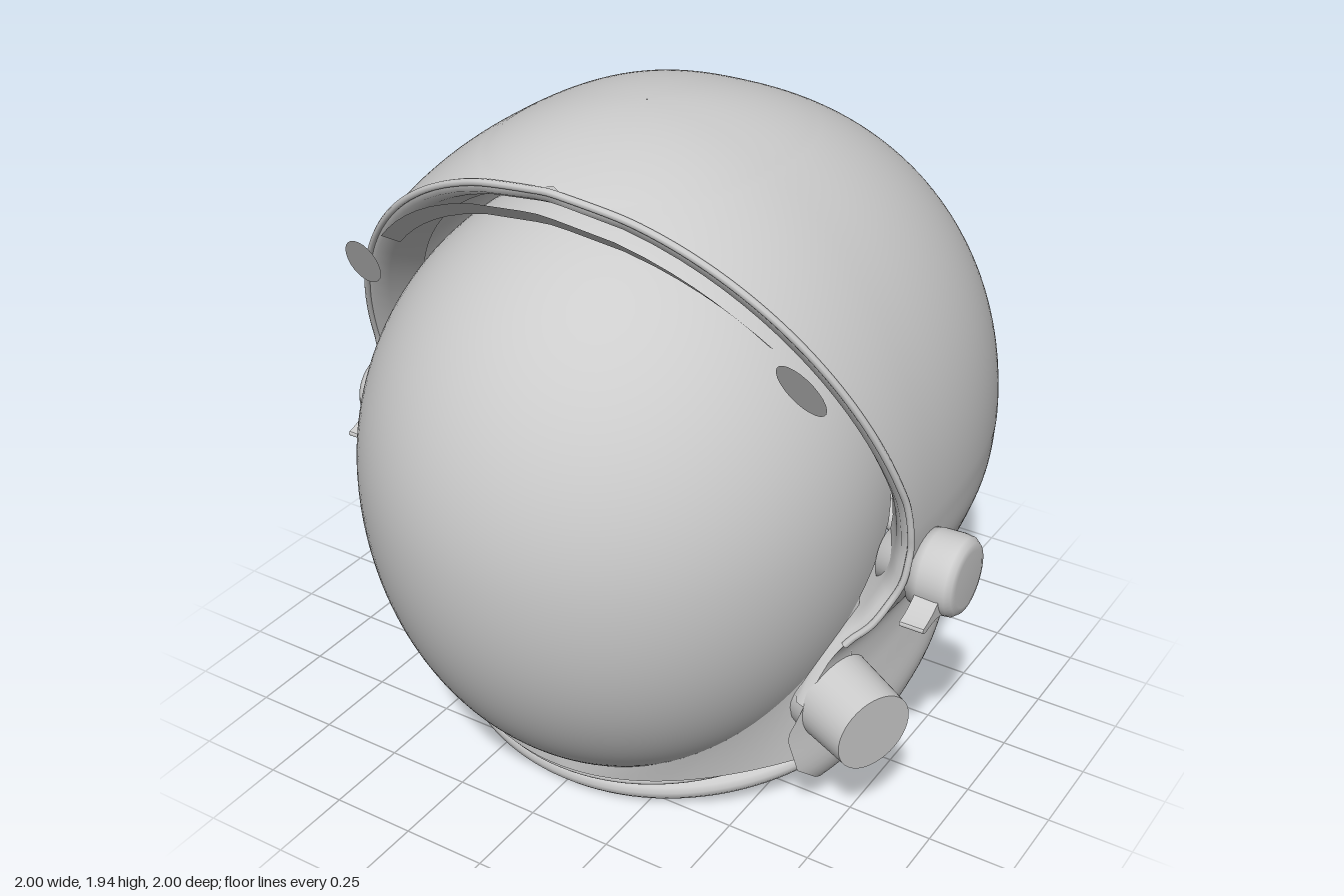
import * as THREE from 'three';

const V = (x, y, z) => new THREE.Vector3(x, y, z);

// Piecewise linear lookup in [[key, value], ...] with rising keys
function lookup(table, k) {
  if (k <= table[0][0]) return table[0][1];
  for (let i = 1; i < table.length; i++) {
    const [k0, v0] = table[i - 1], [k1, v1] = table[i];
    if (k <= k1) return v0 + (v1 - v0) * (k - k0) / (k1 - k0);
  }
  return table[table.length - 1][1];
}

// Smooth surface through equal-length rows of points
function skin(rows) {
  const n = rows[0].length, index = [];
  for (let i = 0; i < rows.length - 1; i++) {
    for (let j = 0; j < n - 1; j++) {
      const a = i * n + j, b = a + 1, c = a + n, d = c + 1;
      index.push(a, b, c, b, d, c);
    }
  }
  const geo = new THREE.BufferGeometry().setFromPoints(rows.flat());
  geo.setIndex(index);
  geo.computeVertexNormals();
  // keep the mirror plane free of a visible seam
  const p = geo.attributes.position, m = geo.attributes.normal;
  for (let i = 0; i < p.count; i++) {
    if (Math.abs(p.getX(i)) > 1e-5) continue;
    const l = Math.hypot(m.getY(i), m.getZ(i)) || 1;
    m.setXYZ(i, 0, m.getY(i) / l, m.getZ(i) / l);
  }
  return geo;
}

// Front limit of the shell and back limit of the visor, as z by height;
// the left cheek reaches further forward to carry the valve
const TOP = [0.583, 1.855];
const UPPER_EDGE = [[0.65, 0.3], [0.78, 0.245], [0.92, 0.23], [1.05, 0.25], [TOP[1], TOP[0]]];
const LEFT_EDGE = [[0.08, 0.22], [0.15, 0.34], [0.22, 0.42], [0.35, 0.455], [0.5, 0.38], ...UPPER_EDGE];
const RIGHT_EDGE = [[0.1, 0.15], [0.2, 0.27], [0.3, 0.34], [0.5, 0.35], ...UPPER_EDGE];
const VISOR_EDGE = [[0.14, 0.645], [0.3, 0.52], [0.5, 0.38], [0.7, 0.25], [0.9, 0.12], [1.2, 0.08]];

// Collar sections: [back z, back y, half width, tilt, centre z, front z]
const COLLAR = [
  [-1.0, 0.94, 0.88, 0, 0.13, 1.18], [-0.975, 0.83, 0.872, 0, 0.12, 1.13],
  [-0.9, 0.755, 0.85, 0, 0.08, 1.06], [-0.82, 0.7, 0.82, 0.02, 0.04, 1.0],
  [-0.755, 0.655, 0.78, 0.03, 0.01, 0.95], [-0.75, 0.625, 0.755, 0.06, 0, 0.9],
  [-0.78, 0.6, 0.752, 0.12, -0.02, 0.86], [-0.805, 0.565, 0.762, 0.18, -0.04, 0.82],
  [-0.805, 0.51, 0.775, 0.26, -0.06, 0.78], [-0.785, 0.47, 0.76, 0.31, -0.08, 0.7],
  [-0.755, 0.458, 0.735, 0.33, -0.08, 0.64], [-0.72, 0.47, 0.7, 0.33, -0.08, 0.6]];

function shellSections() {
  const out = [];
  for (let lat = 89.9; lat > 0.5; lat -= 1.5) {
    const r = lat * Math.PI / 180, k = Math.cos(r);
    out.push([0.13 - 1.13 * k, 0.94 + 1.01 * Math.sin(r), 0.88 * k, 0, 0.13, 0.13 + 1.05 * k]);
  }
  const p = new THREE.CatmullRomCurve3(COLLAR.map(s => V(s[0], s[1], s[2])));
  const q = new THREE.CatmullRomCurve3(COLLAR.map(s => V(s[3], s[4], s[5])));
  for (let i = 0; i <= 55; i++) out.push([...p.getPoint(i / 55).toArray(), ...q.getPoint(i / 55).toArray()]);
  return out;
}

// Point on a section; angle 0 is the back, which is squarer on the dome
function sectionPoint([zb, yb, w, tilt, c, f], angle) {
  const s = Math.abs(Math.sin(angle)) < 1e-9 ? 0 : Math.sin(angle), k = Math.cos(angle);
  const power = k > 0 ? 0.82 + 0.25 * Math.max(0, tilt) : 0.91;
  const kk = Math.abs(k) ** power;
  const z = k > 0 ? c - (c - zb) * kk : c + (f - c) * kk;
  return V(w * Math.sign(s) * Math.abs(s) ** power, yb - tilt * (z - zb), z);
}

function shell() {
  const N = 100, rows = [], rim = [];
  for (const s of shellSections()) {
    // angle at which the section meets the opening on one side
    const reach = (table, side) => {
      const over = a => { const p = sectionPoint(s, side * a); return p.z > lookup(table, p.y); };
      if (s[1] > TOP[1] || !over(Math.PI)) return Math.PI;
      let lo = 0, hi = Math.PI;
      for (let i = 0; i < 30; i++) { const m = (lo + hi) / 2; if (over(m)) hi = m; else lo = m; }
      return lo;
    };
    const l = reach(LEFT_EDGE, 1), r = reach(RIGHT_EDGE, -1);
    if (l < Math.PI && r < Math.PI) rim.push([sectionPoint(s, l), sectionPoint(s, -r)]);
    rows.push(Array.from({ length: N + 1 }, (_, j) => {
      const t = 2 * j / N - 1;
      return sectionPoint(s, t * (t > 0 ? l : r));
    }));
  }
  const kept = rim.filter((_, i) => i % 2 === 0);
  const edge = [...kept.map(p => p[1]).reverse(), V(0, TOP[1], TOP[0]), ...kept.map(p => p[0])];
  return { geo: skin(rows), edge };
}

// Squared half width of the visor, relative, at height y
const visorDrop = y => Math.max(0, 1 - ((y - 0.93) / (y > 0.93 ? 0.825 : 0.94)) ** 2);
function visor() {
  const rows = [];
  for (let i = 0; i <= 64; i++) {
    const y = 0.945 + 0.809 * Math.cos(Math.PI * i / 64), s = Math.sqrt(visorDrop(y)) + 1e-4;
    const end = Math.acos(THREE.MathUtils.clamp((lookup(VISOR_EDGE, y) - 0.2) / (0.8 * s), -1, 1));
    rows.push(Array.from({ length: 65 }, (_, j) => {
      const b = end * (1 - j / 32);
      return V(0.76 * s * Math.sin(b), y, 0.2 + 0.8 * s * Math.cos(b));
    }));
  }
  return skin(rows);
}

// Band closing the space under and beside the visor
function chinBand() {
  const top = [], low = [];
  for (let i = -24; i <= 24; i++) {
    const t = i / 24, y = 0.142 + 0.58 * t * t, z = lookup(VISOR_EDGE, y);
    top.push(V(Math.sign(t) * 0.76 * Math.sqrt(Math.max(0, visorDrop(y) - ((z - 0.2) / 0.8) ** 2)), y, z));
    low.push(V(0.715 * t, 0.11 + 0.12 * t * t, 0.64 - 0.36 * t * t));
  }
  return skin([top, low]);
}

// Tilted closed neck loop
function neckLoop(rx, rz, lift, radius) {
  const pts = Array.from({ length: 48 }, (_, i) => {
    const a = i / 48 * Math.PI * 2, z = -0.08 + rz * Math.cos(a);
    return V(rx * Math.sin(a), 0.207 + lift - 0.333 * z, z);
  });
  return new THREE.TubeGeometry(new THREE.CatmullRomCurve3(pts, true), 128, radius, 12, true);
}

export function createModel() {
  const model = new THREE.Group();
  model.name = 'helmet';
  const grey = new THREE.MeshStandardMaterial({ color: 0xcccccc, side: THREE.DoubleSide });
  grey.name = 'grey';
  const add = (name, geo, parent = model) => {
    const mesh = new THREE.Mesh(geo, grey);
    mesh.name = name;
    parent.add(mesh);
    return mesh;
  };

  // Shell with rim, inner lip and brow strip along its opening
  const { geo, edge } = shell();
  add('shell', geo);
  const inset = (p, sx, sy, dz) => V(p.x * sx, 0.94 + (p.y - 0.94) * sy, p.z + dz);
  const upper = edge.filter(p => p.y > 0.6);
  add('openingRim', new THREE.TubeGeometry(new THREE.CatmullRomCurve3(upper), 200, 0.01, 8));
  const lip = edge.filter(p => p.y > 0.42);
  add('openingLip', skin([lip, ...[[0.97, 0.975, 0.004], [0.935, 0.955, -0.03], [0.87, 0.93, -0.12]]
    .map(([sx, sy, dz]) => lip.map(p => inset(p, sx, sy, dz)))]));
  const brow = edge.filter(p => p.y > 1.57);
  add('browStrip', skin([brow.map(p => inset(p, 0.97, 0.955, 0.045)), brow.map(p => inset(p, 0.94, 0.9, -0.01))]));

  // Visor and chin
  add('visor', visor());
  add('chinBand', chinBand());

  // Neck rings
  add('neckRing', neckLoop(0.705, 0.645, 0.022, 0.034));
  add('innerNeckRing', neckLoop(0.69, 0.685, 0.082, 0.014));

  // Hinge pods with levers, and visor tabs, on both sides
  const podProfile = [[0, 0.76], [0.075, 0.76], [0.075, 0.86], [0.108, 0.865], [0.113, 0.9],
    [0.115, 0.955], [0.112, 0.98], [0.1, 0.995], [0.08, 1.0], [0, 1.0]].map(([r, h]) => new THREE.Vector2(r, h));
  const lever = new THREE.Shape();
  lever.moveTo(0.06, 0.03);
  lever.quadraticCurveTo(0.11, -0.045, 0.19, -0.062);
  lever.quadraticCurveTo(0.2, -0.08, 0.17, -0.08);
  lever.quadraticCurveTo(0.1, -0.06, 0.04, -0.1);
  for (const side of [1, -1]) {
    const pod = new THREE.Group();
    pod.name = side > 0 ? 'leftHinge' : 'rightHinge';
    pod.position.set(0, 0.805, 0.122);
    model.add(pod);
    add('hingePod', new THREE.LatheGeometry(podProfile, 40), pod).rotation.z = -side * Math.PI / 2;
    const arm = add('hingeLever', new THREE.ExtrudeGeometry(lever, { depth: 0.07, bevelEnabled: false, curveSegments: 10 }), pod);
    arm.rotation.y = -Math.PI / 2;
    arm.position.x = side > 0 ? 0.965 : -0.895;

    const tab = add(side > 0 ? 'leftVisorTab' : 'rightVisorTab', new THREE.CircleGeometry(1, 24));
    tab.scale.set(0.055, 0.1, 1);
    tab.position.set(side * 0.685, 1.46, 0.505);
    tab.rotation.set(0.5, 0, side * 0.3);
  }

  // Air valve on the left cheek
  const from = V(0.62, 0.42, 0.25), to = V(0.865, 0.4, 0.365);
  const valve = add('airValve', new THREE.CylinderGeometry(0.118, 0.132, from.distanceTo(to), 40));
  valve.position.copy(from).lerp(to, 0.5);
  valve.quaternion.setFromUnitVectors(V(0, 1, 0), to.clone().sub(from).normalize());

  // Small upright flap inside the neck opening
  const flap = add('neckFlap', new THREE.CircleGeometry(1, 24));
  flap.scale.set(0.13, 0.12, 1);
  flap.position.set(-0.63, 0.385, -0.37);
  flap.rotation.y = Math.PI / 2;
  return model;
}
